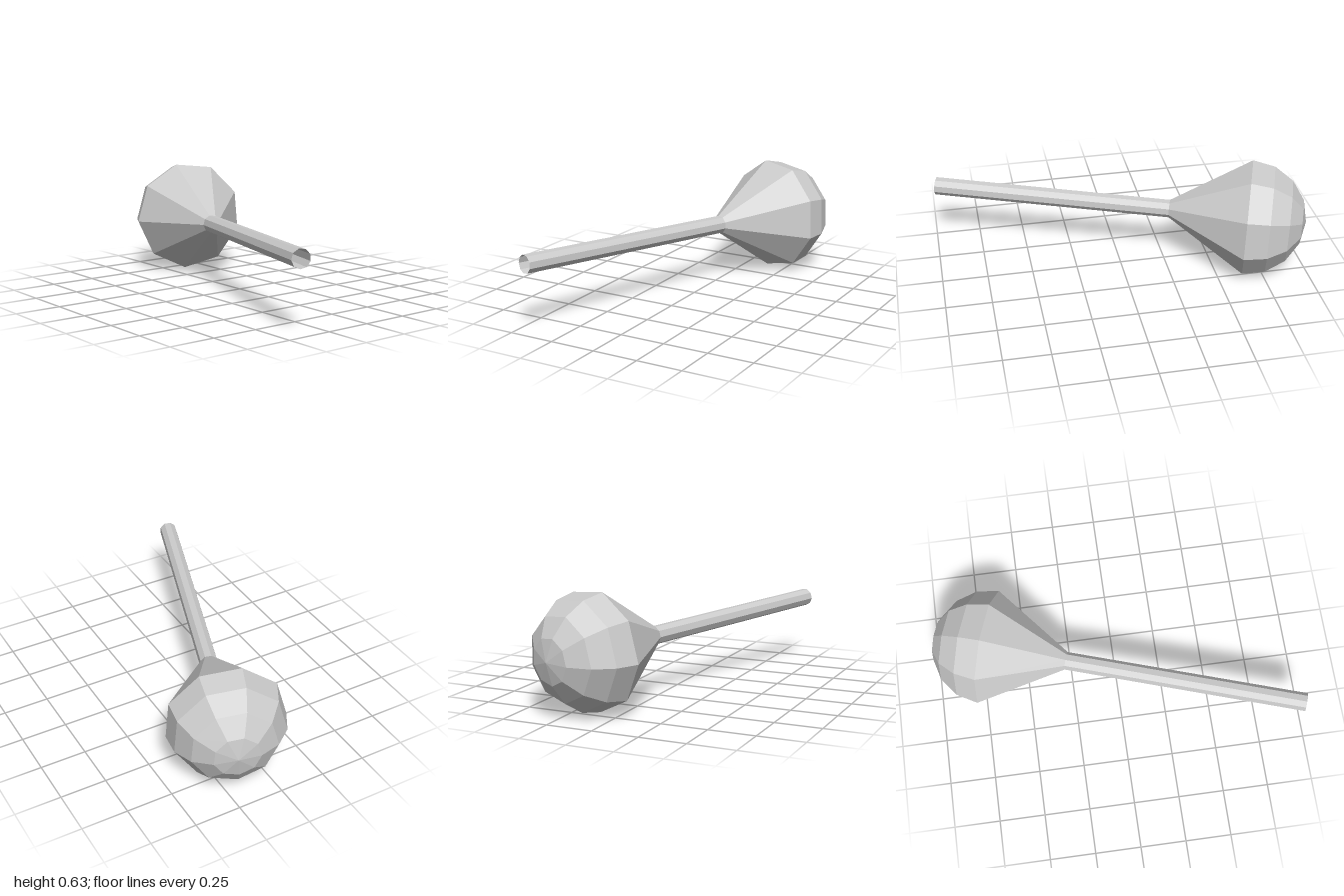
import * as THREE from 'three';

const SIDES = 9;
const STICK_RADIUS = 0.05;
const HEAD_RADIUS = 0.319;
const NECK = 1.325; // distance along the axis where the stick meets the cone
const RIM = 1.758; // distance along the axis where the cone meets the dome

export function createModel() {
  const model = new THREE.Group();
  const material = new THREE.MeshStandardMaterial({
    color: 0xcccccc, flatShading: true, side: THREE.DoubleSide,
  });

  // Each part is a nine-sided lathe about the shared long axis
  const addPart = (name, profile) => {
    const points = profile.map(([r, y]) => new THREE.Vector2(r, y));
    const start = THREE.MathUtils.degToRad(-14);
    const mesh = new THREE.Mesh(new THREE.LatheGeometry(points, SIDES, start), material);
    mesh.name = name;
    model.add(mesh);
  };

  // Hollow stick, open at its free end
  addPart('stick', [[STICK_RADIUS, 0], [STICK_RADIUS, NECK]]);

  // Cone flaring from the stick to the head rim
  addPart('cone', [[STICK_RADIUS, NECK], [HEAD_RADIUS, RIM]]);

  // Half-sphere cap in four rings
  const dome = [];
  for (let i = 0; i <= 4; i++) {
    const a = (i * Math.PI) / 8;
    dome.push([i === 4 ? 0 : HEAD_RADIUS * Math.cos(a), RIM + HEAD_RADIUS * Math.sin(a)]);
  }
  addPart('dome', dome);

  // Lay the axis from the free end of the stick back to the head
  const axis = new THREE.Vector3(0.323, -0.031, -0.946).normalize();
  const side = new THREE.Vector3().crossVectors(axis, new THREE.Vector3(0, 1, 0)).normalize();
  const up = new THREE.Vector3().crossVectors(side, axis);
  model.quaternion.setFromRotationMatrix(new THREE.Matrix4().makeBasis(side, axis, up));
  model.position.set(-0.415, 0.374, 0.98);

  const root = new THREE.Group();
  model.name = 'roundHeadedStick';
  root.add(model);
  return root;
}
